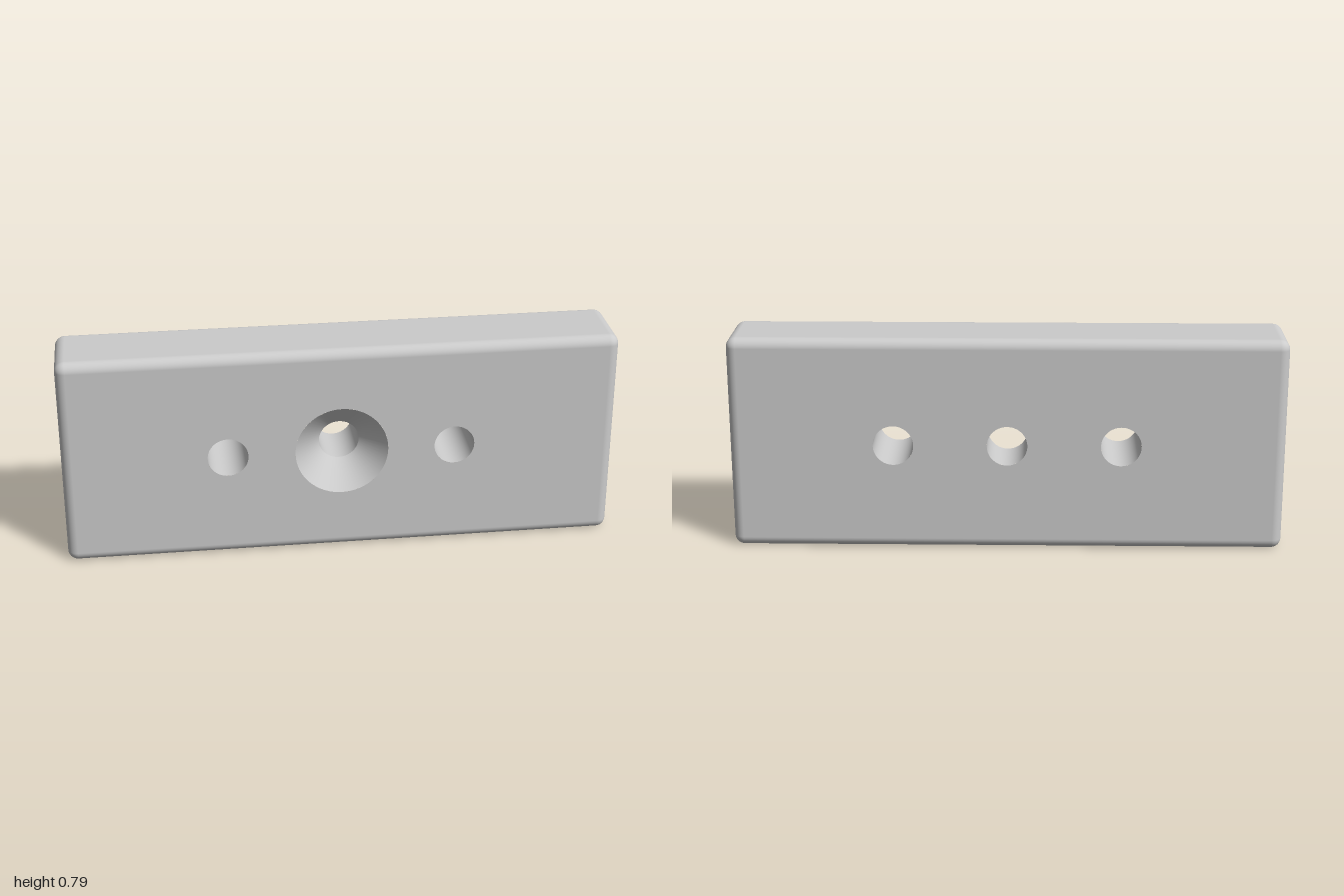
import * as THREE from 'three';
import { RoundedBoxGeometry } from 'three/addons/geometries/RoundedBoxGeometry.js';

const W = 2, H = 0.785, D = 0.285, EDGE = 0.036;
const BORE = 0.073, SINK = 0.168, SINK_DEPTH = 0.095, SPACING = 0.41, SEG = 64;

const material = new THREE.MeshStandardMaterial({ color: 0xcccccc });

function part(name, geometry) {
  const mesh = new THREE.Mesh(geometry, material);
  mesh.name = name;
  return mesh;
}

// Rounded block without its flat front and back, which carry the holes
function roundedRim() {
  const box = new RoundedBoxGeometry(W, H, D, 6, EDGE);
  const pos = box.attributes.position;
  const index = [];
  for (let i = 0; i < pos.count; i += 3) {
    const tri = [i, i + 1, i + 2];
    const flat = [1, -1].some(s => tri.every(v => Math.abs(pos.getZ(v) * s - D / 2) < 1e-5));
    if (!flat) index.push(...tri);
  }
  box.clearGroups();
  box.setIndex(index);
  return box;
}

// Flat face with three round openings
function drilledFace(centreRadius) {
  const x = W / 2 - EDGE, y = H / 2 - EDGE;
  const shape = new THREE.Shape([[-x, -y], [x, -y], [x, y], [-x, y]].map(p => new THREE.Vector2(...p)));
  [[-SPACING, BORE], [0, centreRadius], [SPACING, BORE]].forEach(([cx, r]) => {
    shape.holes.push(new THREE.Path().absarc(cx, 0, r, 0, Math.PI * 2, true));
  });
  return new THREE.ShapeGeometry(shape, SEG);
}

// Inward-facing wall from (r0, z0) back to (r1, z1)
function holeWall(r0, z0, r1, z1) {
  const profile = [new THREE.Vector2(r0, z0), new THREE.Vector2(r1, z1)];
  return new THREE.LatheGeometry(profile, SEG).rotateX(Math.PI / 2);
}

export function createModel() {
  const model = new THREE.Group();
  model.name = 'drilledBlock';
  const block = new THREE.Group();
  block.name = 'block';
  block.position.y = H / 2;
  model.add(block);

  block.add(part('roundedRim', roundedRim()));
  block.add(part('frontFace', drilledFace(SINK).translate(0, 0, D / 2)));
  block.add(part('backFace', drilledFace(BORE).rotateY(Math.PI).translate(0, 0, -D / 2)));

  // Plain side holes
  for (const side of [-1, 1]) {
    const hole = part(side > 0 ? 'leftHole' : 'rightHole', holeWall(BORE, D / 2, BORE, -D / 2));
    hole.position.x = side * SPACING;
    block.add(hole);
  }

  // Countersunk centre hole
  const sinkEnd = D / 2 - SINK_DEPTH;
  block.add(part('countersink', holeWall(SINK, D / 2, BORE, sinkEnd)));
  block.add(part('centreHole', holeWall(BORE, sinkEnd, BORE, -D / 2)));
  return model;
}
